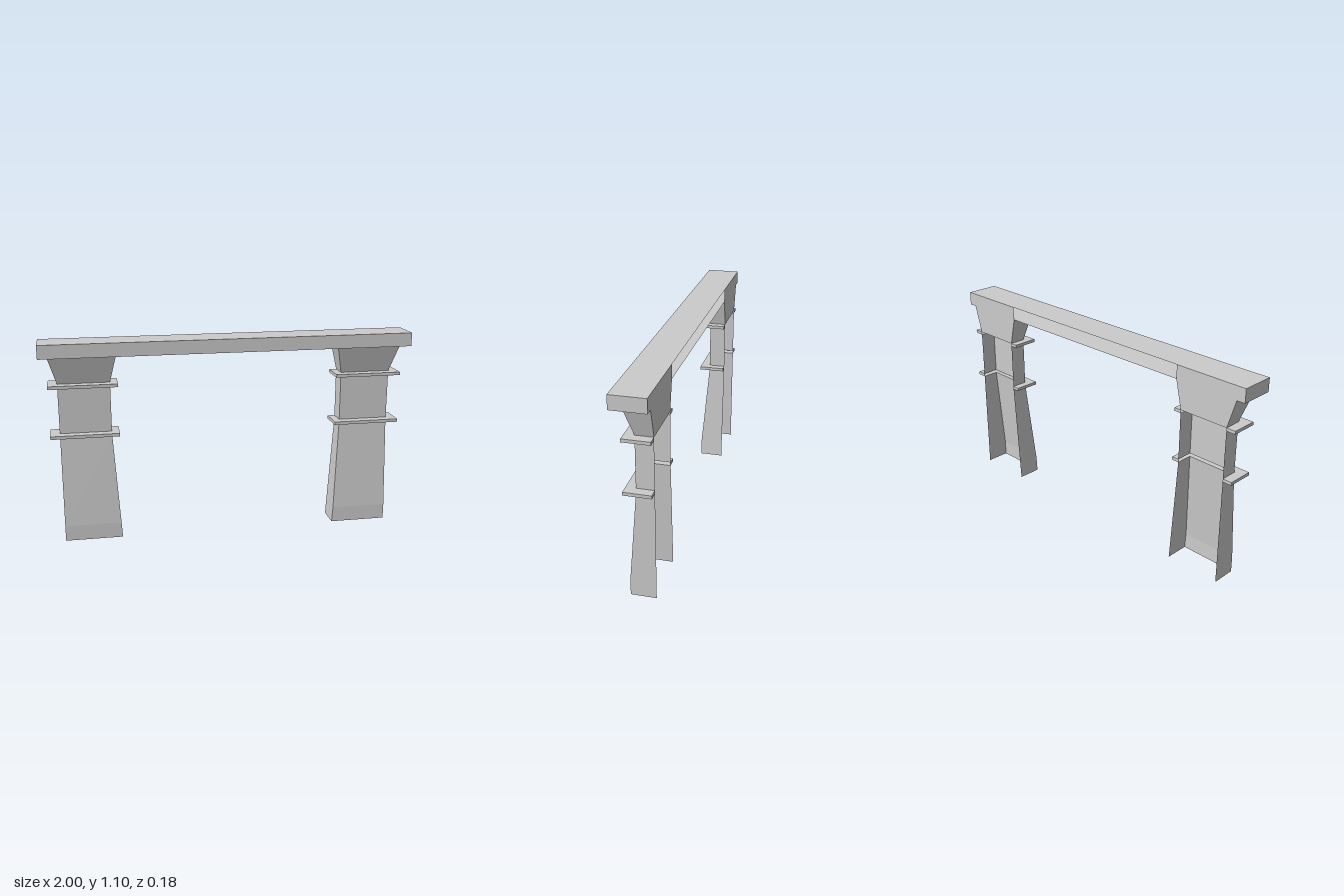
import * as THREE from 'three';

const BACK = -0.09;
const material = new THREE.MeshStandardMaterial({
  color: 0xcccccc, flatShading: true, side: THREE.DoubleSide,
});

function addMesh(parent, name, geometry) {
  const mesh = new THREE.Mesh(geometry, material);
  mesh.name = name;
  parent.add(mesh);
}

// Shell with a U-shaped plan, open at the back.
// Each section is [y, inner x, outer x, front z]; s is the side (+1 or -1).
function channel(sections, s, capEnds = false) {
  const rows = sections.map(([y, xi, xo, z]) => [
    [s * xi, y, BACK], [s * xi, y, z], [s * xo, y, z], [s * xo, y, BACK],
  ]);
  const pos = [];
  const quad = (...corners) => {
    const [a, b, c, d] = s > 0 ? corners : corners.reverse();
    pos.push(...a, ...b, ...c, ...a, ...c, ...d);
  };
  for (let i = 0; i < rows.length - 1; i++) {
    for (let j = 0; j < 3; j++) {
      quad(rows[i][j], rows[i][j + 1], rows[i + 1][j + 1], rows[i + 1][j]);
    }
  }
  if (capEnds) {
    quad(...rows.map((r) => r[0]));
    quad(...rows.map((r) => r[3]).reverse());
  }
  const geo = new THREE.BufferGeometry();
  geo.setAttribute('position', new THREE.Float32BufferAttribute(pos, 3));
  geo.computeVertexNormals();
  return geo;
}

// Thin hollow collar, open towards the inside of the pillar
function collar(y0, y1, s) {
  const inner = [0.635, 0.91, 0], outer = [0.595, 0.96, 0.05];
  return channel([[y0, ...inner], [y0, ...outer], [y1, ...outer], [y1, ...inner]], s, true);
}

// Flat plate closing the back of the capital and the lintel above it
function backPlate(s) {
  const outline = [
    [0.6, 1.095], [0.6, 1.022], [0.635, 0.87], [0.91, 0.87],
    [0.955, 1.022], [1, 1.022], [1, 1.095],
  ].map(([x, y]) => new THREE.Vector2(-s * x, y));
  const geo = new THREE.ShapeGeometry(new THREE.Shape(outline));
  return geo.rotateY(Math.PI).translate(0, 0, BACK);
}

export function createModel() {
  const model = new THREE.Group();
  model.name = 'portal';

  // Lintel: a hollow box with no back face
  const beam = new THREE.BoxGeometry(2, 0.073, 0.18);
  beam.setIndex(Array.from(beam.index.array).slice(0, 30));
  beam.clearGroups();
  addMesh(model, 'lintel', beam.translate(0, 1.0585, 0));

  for (const s of [1, -1]) {
    const pillar = new THREE.Group();
    pillar.name = s > 0 ? 'leftPillar' : 'rightPillar';
    model.add(pillar);

    // Tapered foot, straight shaft and flared capital
    addMesh(pillar, 'lowerShaft', channel([
      [0, 0.6, 0.91, 0.041], [0.085, 0.605, 0.91, 0.041], [0.583, 0.635, 0.91, 0],
    ], s));
    addMesh(pillar, 'upperShaft', channel([
      [0.6, 0.635, 0.91, 0], [0.853, 0.635, 0.91, 0],
    ], s));
    addMesh(pillar, 'capital', channel([
      [0.87, 0.635, 0.91, 0], [1.022, 0.6, 0.955, 0.043],
    ], s));

    // Collars between the sections
    addMesh(pillar, 'lowerCollar', collar(0.583, 0.6, s));
    addMesh(pillar, 'upperCollar', collar(0.853, 0.87, s));

    addMesh(pillar, 'backPlate', backPlate(s));
  }
  return model;
}
